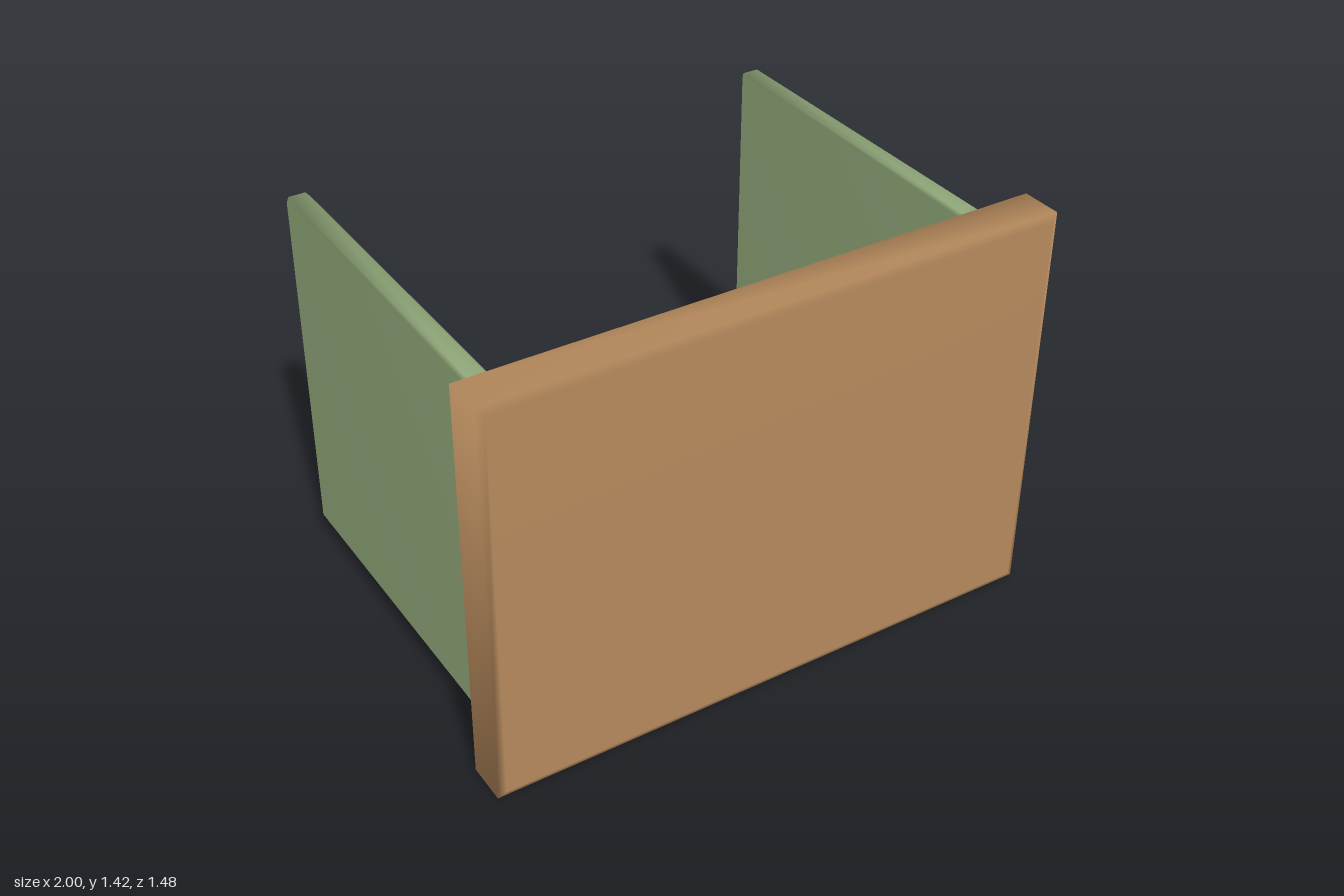
import * as THREE from 'three';
import { mergeVertices } from 'three/addons/utils/BufferGeometryUtils.js';

// Slab lying in the XY plane, centred, with a narrow bevel and soft shading.
function slab(width, height, thickness, bevel, bevelDepth) {
  const w = width / 2 - bevel;
  const h = height / 2 - bevel;
  const shape = new THREE.Shape();
  shape.moveTo(-w, -h);
  shape.lineTo(w, -h);
  shape.lineTo(w, h);
  shape.lineTo(-w, h);
  shape.closePath();
  const depth = thickness - 2 * bevelDepth;
  const geometry = new THREE.ExtrudeGeometry(shape, {
    depth,
    bevelEnabled: true,
    bevelSize: bevel,
    bevelThickness: bevelDepth,
    bevelSegments: 1,
  });
  geometry.translate(0, 0, -depth / 2);
  // Weld the corners so the bevels blend smoothly into the faces
  geometry.deleteAttribute('normal');
  geometry.deleteAttribute('uv');
  const smooth = mergeVertices(geometry, 1e-4);
  smooth.computeVertexNormals();
  return smooth;
}

export function createModel() {
  const group = new THREE.Group();
  const wood = new THREE.MeshStandardMaterial({ color: 0xb5895c });
  const green = new THREE.MeshStandardMaterial({ color: 0x8fa678 });

  // Front board
  const board = new THREE.Mesh(slab(2, 1.418, 0.167, 0.025, 0.012), wood);
  board.name = 'frontBoard';
  board.position.set(0, 0.709, 0.654);
  group.add(board);

  // Side panels, set into the back of the board
  const panelGeometry = slab(1.337, 1.265, 0.082, 0.012, 0.012);
  panelGeometry.rotateY(Math.PI / 2);
  for (const side of [-1, 1]) {
    const panel = new THREE.Mesh(panelGeometry, green);
    panel.name = side > 0 ? 'leftPanel' : 'rightPanel';
    panel.position.set(side * 0.87, 0.711, -0.069);
    group.add(panel);
  }
  return group;
}
